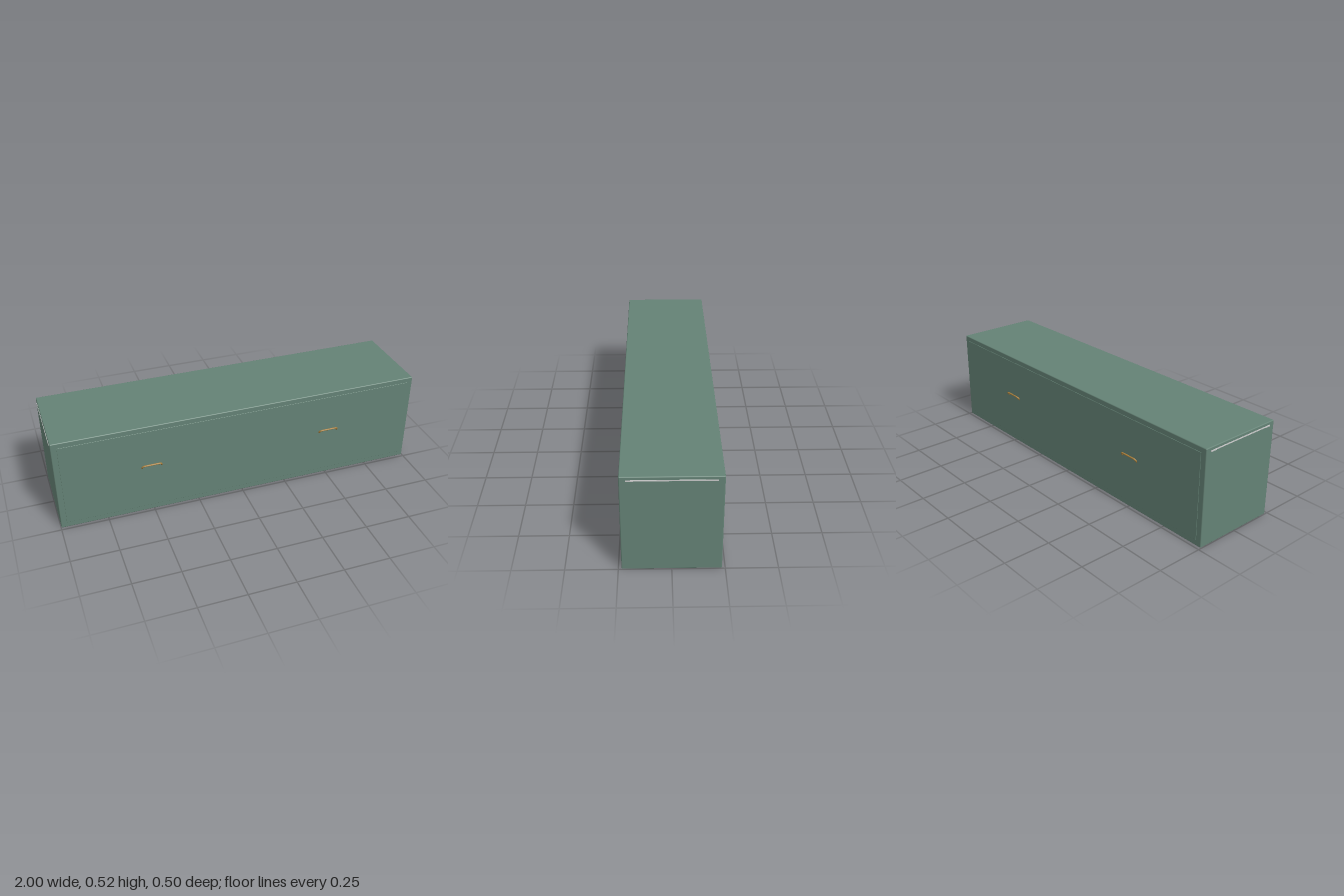
import * as THREE from 'three';
import { RoundedBoxGeometry } from 'three/addons/geometries/RoundedBoxGeometry.js';

export function createModel() {
  const chest = new THREE.Group();
  chest.name = 'chest';
  const green = new THREE.MeshStandardMaterial({ color: 0x648275 });
  const brass = new THREE.MeshStandardMaterial({ color: 0xa87f3c });
  const grey = new THREE.MeshStandardMaterial({ color: 0xcccccc });

  function add(name, geometry, material, x, y, z) {
    const mesh = new THREE.Mesh(geometry, material);
    mesh.name = name;
    mesh.position.set(x, y, z);
    chest.add(mesh);
    return mesh;
  }

  // Main case with softly rounded edges
  add('body', new RoundedBoxGeometry(1.996, 0.523, 0.47, 3, 0.005), green, 0, 0.2615, 0);

  // Bail handle: an arch with rounded corners, tilted outward and upward
  const arch = new THREE.CatmullRomCurve3([
    [-0.052, -0.002], [-0.051, 0.012], [-0.044, 0.019], [-0.03, 0.021], [0, 0.021],
    [0.03, 0.021], [0.044, 0.019], [0.051, 0.012], [0.052, -0.002],
  ].map(([x, y]) => new THREE.Vector3(x, y, 0)));
  const handleGeometry = new THREE.TubeGeometry(arch, 40, 0.0045, 10);

  for (const side of [1, -1]) {
    // Raised panel on the front and back
    const panelName = side > 0 ? 'frontPanel' : 'backPanel';
    add(panelName, new RoundedBoxGeometry(1.934, 0.465, 0.01, 2, 0.0015), green, 0, 0.2625, side * 0.232);

    for (const x of [-0.5, 0.5]) {
      const handle = add('handle', handleGeometry, brass, x, 0.277, side * 0.235);
      handle.rotation.x = side * 0.62;
    }

    // Thin pale strip under the top edge of each end
    add('endStrip', new THREE.BoxGeometry(0.006, 0.008, 0.41), grey, side * 0.997, 0.503, 0);
    add('endStripLip', new THREE.BoxGeometry(0.006, 0.003, 0.34), green, side * 0.9972, 0.4995, 0);
  }
  return chest;
}
